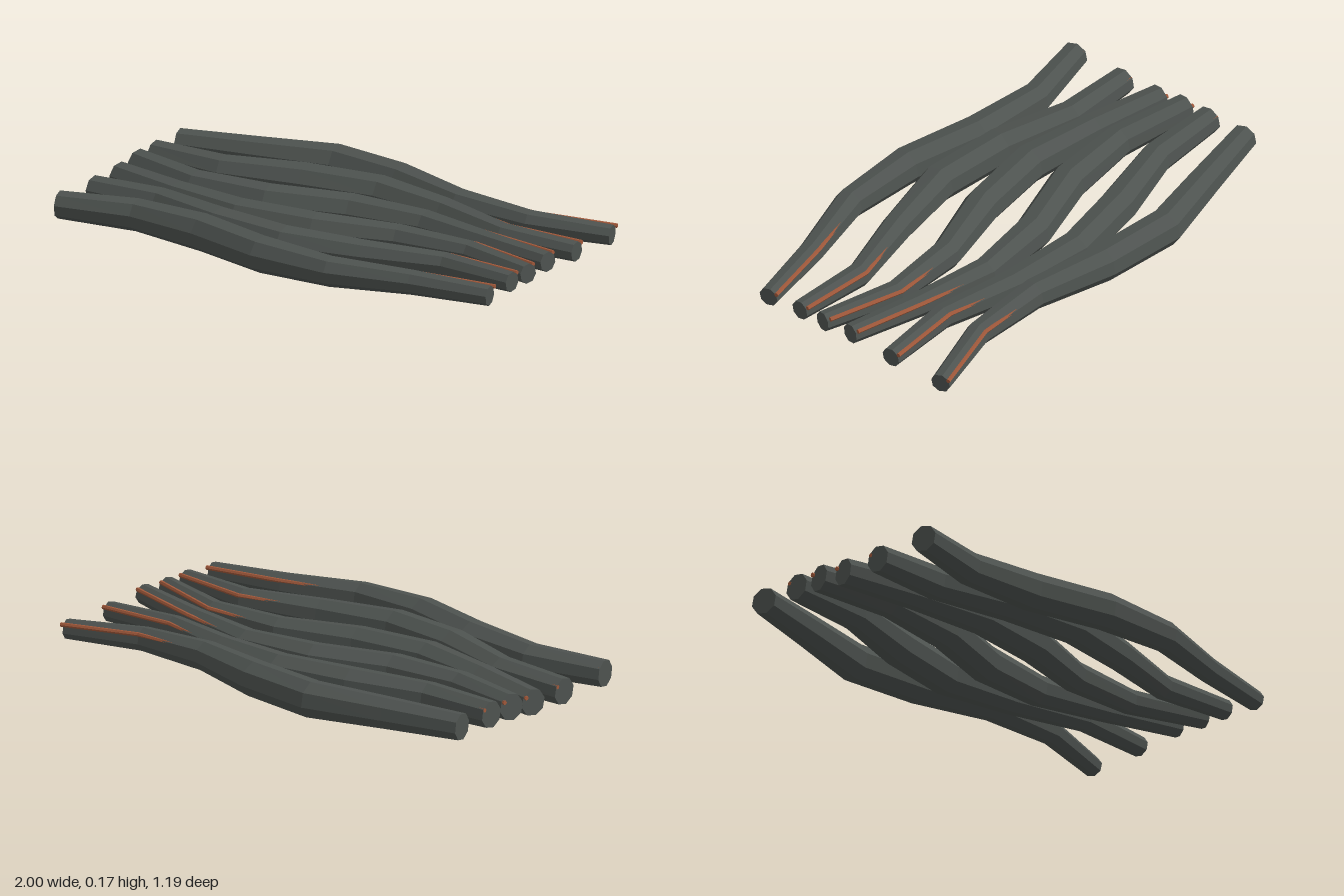
import * as THREE from 'three';

// Stations shared by every strand
const X = [-0.985, -0.66, -0.33, 0, 0.33, 0.66, 0.99];
const R = [0.056, 0.066, 0.077, 0.075, 0.062, 0.05, 0.041];

// Sideways path of each strand, back to front
const Z = [
  [-0.39, -0.455, -0.525, -0.485, -0.4, -0.39, -0.472],
  [-0.215, -0.21, -0.29, -0.34, -0.295, -0.21, -0.22],
  [-0.095, -0.02, -0.035, -0.13, -0.155, -0.09, -0.015],
  [0.035, 0.11, 0.165, 0.13, 0.04, 0.03, 0.125],
  [0.22, 0.225, 0.315, 0.35, 0.29, 0.21, 0.24],
  [0.465, 0.4, 0.43, 0.515, 0.53, 0.45, 0.398],
];
// Height of each strand at its left end, middle and right end
const Y = [
  [0.1, 0.102, 0.081], [0.105, 0.095, 0.088], [0.105, 0.083, 0.107],
  [0.09, 0.084, 0.1], [0.088, 0.095, 0.1], [0.098, 0.102, 0.09],
];

// Capped tube with one ring square to the path at each point
function tube(points, radii, sides, turn) {
  const pos = [], index = [];
  const side = new THREE.Vector3(), up = new THREE.Vector3(), dir = new THREE.Vector3();
  const last = points.length - 1;
  points.forEach((p, i) => {
    dir.subVectors(points[Math.min(i + 1, last)], points[Math.max(i - 1, 0)]).normalize();
    side.crossVectors(dir, THREE.Object3D.DEFAULT_UP).normalize();
    up.crossVectors(side, dir);
    for (let k = 0; k < sides; k++) {
      const a = turn + (k / sides) * Math.PI * 2;
      const v = p.clone().addScaledVector(side, Math.cos(a) * radii[i]).addScaledVector(up, Math.sin(a) * radii[i]);
      pos.push(v.x, v.y, v.z);
    }
  });
  for (let i = 0; i < last; i++) {
    for (let k = 0; k < sides; k++) {
      const a = i * sides + k, b = i * sides + (k + 1) % sides;
      index.push(a, b, a + sides, b, b + sides, a + sides);
    }
  }
  // End caps
  for (let k = 1; k < sides - 1; k++) {
    const e = last * sides;
    index.push(0, k + 1, k, e, e + k, e + k + 1);
  }
  // Reverse winding so the faces point outwards
  for (let t = 0; t < index.length; t += 3) [index[t + 1], index[t + 2]] = [index[t + 2], index[t + 1]];
  const g = new THREE.BufferGeometry();
  g.setAttribute('position', new THREE.Float32BufferAttribute(pos, 3));
  g.setIndex(index);
  const flat = g.toNonIndexed();
  flat.computeVertexNormals();
  return flat;
}

export function createModel() {
  const group = new THREE.Group();
  group.name = 'strands';
  const grey = new THREE.MeshStandardMaterial({ color: 0x4d524f });
  grey.name = 'dark grey';
  const copper = new THREE.MeshStandardMaterial({ color: 0xa0583a });
  copper.name = 'copper';

  Z.forEach((zs, n) => {
    const path = zs.map((z, i) => {
      const [a, m, b] = Y[n];
      const t = (i - 3) / 3;
      const ease = t * t;
      return new THREE.Vector3(X[i], m + ((t < 0 ? a : b) - m) * ease, z);
    });
    const strand = new THREE.Mesh(tube(path, R, 8, 0.2), grey);
    strand.name = 'strand' + (n + 1);

    // Thin wire on the upper back side, sunk into the strand where it is thick
    const wirePath = path.map((p) => p.clone().add(new THREE.Vector3(0, 0.027, -0.038)));
    const wire = new THREE.Mesh(tube(wirePath, R.map(() => 0.009), 6, 0), copper);
    wire.name = 'wire' + (n + 1);
    group.add(strand, wire);
  });
  return group;
}
